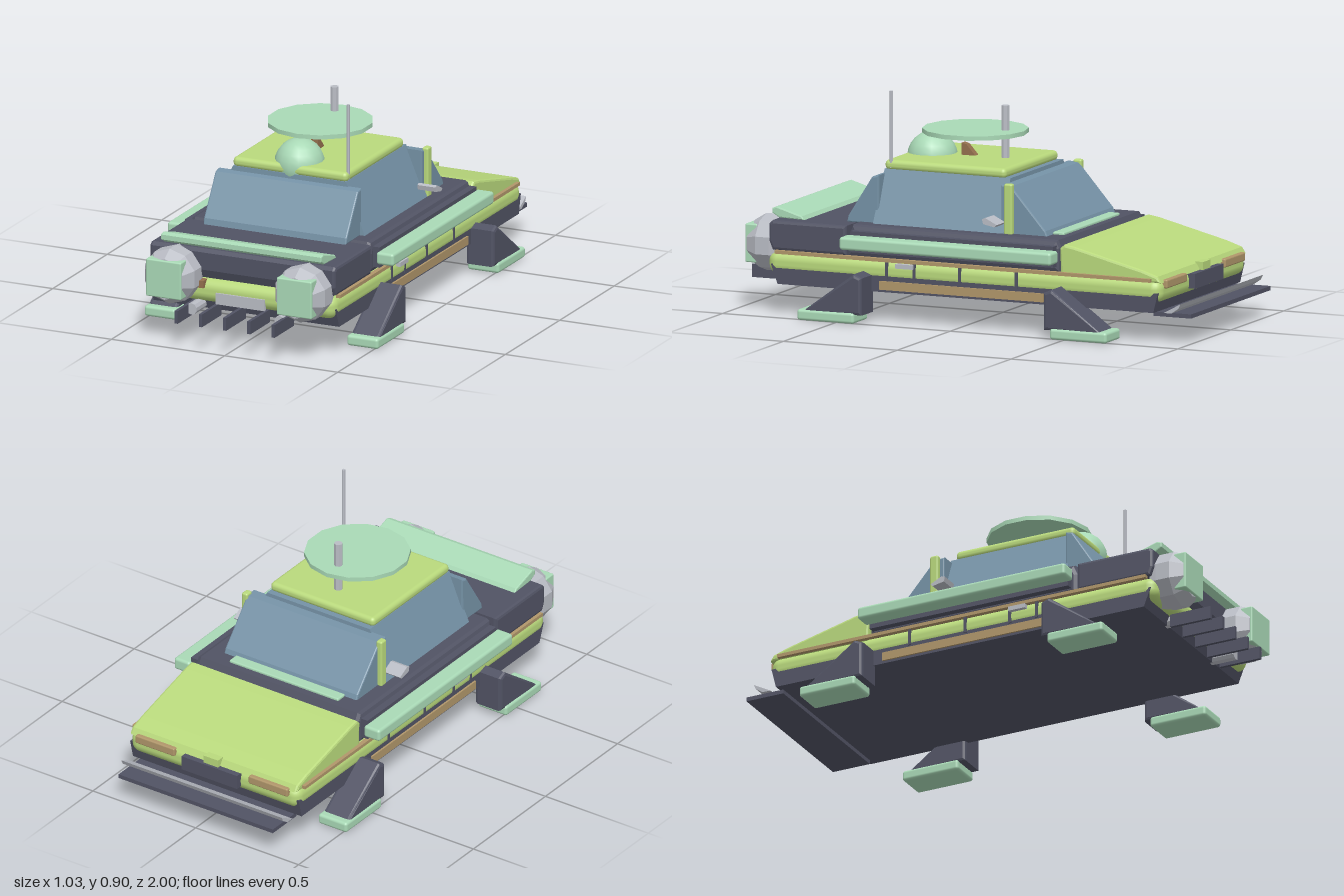
import * as THREE from 'three';
import { RoundedBoxGeometry } from 'three/addons/geometries/RoundedBoxGeometry.js';

const paint = (name, color, flat = true) => {
  const m = new THREE.MeshStandardMaterial({ color, flatShading: flat });
  m.name = name;
  return m;
};

export function createModel() {
  const model = new THREE.Group();
  model.name = 'hoverCar';
  const lime = paint('lime', 0xb9d97c, false);
  const mint = paint('mint', 0xa9d9b6, false);
  const dark = paint('slate', 0x515364);
  const glass = paint('glassBlue', 0x7592a6);
  const grey = paint('lightGrey', 0xb9bcc4);
  const tan = paint('tan', 0xb0966a);
  const brown = paint('brown', 0x94704e);

  const add = (name, geo, mat, x = 0, y = 0, z = 0) => {
    const mesh = new THREE.Mesh(geo, mat);
    mesh.name = name;
    mesh.position.set(x, y, z);
    model.add(mesh);
    return mesh;
  };
  // Box given by its limits on each axis; a radius rounds its edges
  const box = (name, mat, [x0, x1], [y0, y1], [z0, z1], r = 0) => {
    const s = [x1 - x0, y1 - y0, z1 - z0];
    const geo = r ? new RoundedBoxGeometry(...s, 3, r) : new THREE.BoxGeometry(...s);
    return add(name, geo, mat, (x0 + x1) / 2, (y0 + y1) / 2, (z0 + z1) / 2);
  };
  // The same box on both sides of the car
  const pair = (name, mat, [x0, x1], y, z, r) => {
    box(name + 'Left', mat, [x0, x1], y, z, r);
    box(name + 'Right', mat, [-x1, -x0], y, z, r);
  };
  // Side profile of [z, y] points, extruded across x and optionally bevelled
  const prism = (name, mat, profile, width, bevel = 0, x = 0) => {
    const shape = new THREE.Shape(profile.map(p => new THREE.Vector2(...p)));
    const depth = width - 2 * bevel;
    const geo = new THREE.ExtrudeGeometry(shape, {
      depth, bevelEnabled: bevel > 0, bevelThickness: bevel,
      bevelSize: bevel, bevelOffset: -bevel, bevelSegments: 2,
    });
    geo.translate(0, 0, -depth / 2).rotateY(-Math.PI / 2);
    return add(name, geo, mat, x);
  };

  // Lower body
  prism('chassis', dark, [[0.83, 0.2], [0.8, 0.12], [-0.85, 0.12], [-0.87, 0.2]], 0.82);
  box('lowerBody', lime, [-0.412, 0.412], [0.155, 0.253], [-0.88, 0.85], 0.042);
  pair('sideTrim', tan, [0.4, 0.42], [0.243, 0.257], [-0.84, 0.81]);
  pair('sill', tan, [0.39, 0.418], [0.13, 0.165], [-0.37, 0.35]);
  for (const z of [0.32, 0.2, 0, -0.25]) {
    pair('doorSeam', dark, [0.408, 0.415], [0.175, 0.243], [z - 0.006, z + 0.006]);
  }
  pair('doorHandle', grey, [0.408, 0.428], [0.222, 0.24], [0.2, 0.275]);

  // Upper body
  prism('engineDeck', dark, [[0.84, 0.29], [0.84, 0.362], [0.825, 0.375],
    [0.5, 0.375], [0.5, 0.255], [0.825, 0.255]], 0.82, 0.012);
  const sides = [[0.5, 0.25], [0.5, 0.335], [0.48, 0.38], [-0.42, 0.38], [-0.435, 0.35], [-0.435, 0.25]];
  prism('cabinDeck', dark, sides, 0.8, 0.02);
  pair('sideRail', mint, [0.423, 0.5], [0.293, 0.345], [-0.44, 0.49], 0.012);
  pair('railMount', dark, [0.38, 0.43], [0.275, 0.36], [-0.42, 0.47]);
  prism('hood', lime, [[-0.44, 0.24], [-0.435, 0.35], [-0.455, 0.367], [-0.5, 0.36],
    [-0.8, 0.287], [-0.865, 0.266], [-0.88, 0.24]], 0.81, 0.01);

  // Cabin: box whose walls lean in towards the roof
  const cabin = new THREE.BoxGeometry(0.68, 0.215, 0.575);
  const p = cabin.attributes.position;
  for (let i = 0; i < p.count; i++) {
    if (p.getY(i) > 0) p.setXYZ(i, p.getX(i) * 0.735, p.getY(i), p.getZ(i) * 0.96);
  }
  add('cabin', cabin, glass, 0, 0.4825, 0.128);
  prism('rearScreen', glass, [[0.4, 0.375], [0.54, 0.375], [0.535, 0.4],
    [0.43, 0.565], [0.4, 0.572]], 0.632, 0.006);
  prism('windshield', glass, [[-0.14, 0.375], [-0.345, 0.375], [-0.335, 0.4],
    [-0.185, 0.57], [-0.14, 0.575]], 0.645, 0.006);
  box('wiperCover', mint, [-0.265, 0.265], [0.37, 0.39], [-0.39, -0.34], 0.006);
  pair('doorPost', lime, [0.313, 0.341], [0.375, 0.582], [-0.197, -0.16], 0.008);
  const mirrorProfile = [[-0.095, 0.445], [-0.11, 0.45], [-0.16, 0.425], [-0.15, 0.415], [-0.1, 0.425]];
  for (const s of [-1, 1]) prism('mirror', grey, mirrorProfile, 0.08, 0, s * 0.365);

  // Roof equipment
  box('roof', lime, [-0.253, 0.253], [0.585, 0.626], [-0.127, 0.405], 0.018);
  add('dome', new THREE.SphereGeometry(0.101, 16, 12), mint, 0, 0.611, 0.31);
  const disc = new THREE.CylinderGeometry(0.213, 0.213, 0.018, 14);
  add('radarDisc', disc, mint, 0, 0.728, 0.122);
  add('mast', new THREE.CylinderGeometry(0.017, 0.017, 0.23, 8), grey, 0, 0.722, -0.01);
  add('aerial', new THREE.CylinderGeometry(0.007, 0.007, 0.31, 6), grey, 0.246, 0.75, 0.377);
  prism('discBracket', brown, [[0.175, 0.62], [0.175, 0.675], [0.155, 0.67], [0.11, 0.62]], 0.03);

  // Thrusters with square nozzles
  const pod = new THREE.LatheGeometry([[0, 0], [0.11, 0], [0.115, 0.03], [0.115, 0.09],
    [0.085, 0.14], [0, 0.14]].map(q => new THREE.Vector2(...q)), 10).rotateX(Math.PI / 2);
  for (const s of [-1, 1]) add('thruster', pod, grey, s * 0.288, 0.266, 0.815);
  pair('nozzle', mint, [0.211, 0.366], [0.19, 0.346], [0.91, 0.964], 0.006);
  prism('spoiler', mint, [[0.71, 0.375], [0.72, 0.39], [0.83, 0.422], [0.85, 0.415],
    [0.85, 0.395], [0.82, 0.378]], 0.71, 0.005);
  pair('engineLatch', brown, [0.16, 0.187], [0.22, 0.25], [0.82, 0.862]);
  box('plate', grey, [-0.108, 0.107], [0.16, 0.206], [0.84, 0.858]);

  // Diffuser fins and exhausts
  for (let i = -2; i <= 2; i++) {
    box('diffuserFin', dark, [i * 0.107 - 0.007, i * 0.107 + 0.007], [0.105, 0.158], [0.82, 1]);
  }
  const exhaust = new THREE.CylinderGeometry(0.024, 0.024, 0.11, 10).rotateX(Math.PI / 2);
  for (const s of [-1, 1]) add('exhaust', exhaust, grey, s * 0.195, 0.14, 0.845);

  // Nose: lights, grille and splitter
  pair('headlight', tan, [0.18, 0.37], [0.215, 0.25], [-0.893, -0.86], 0.006);
  box('grille', dark, [-0.135, 0.135], [0.18, 0.24], [-0.906, -0.86]);
  box('hoodCatch', lime, [-0.035, 0.035], [0.235, 0.272], [-0.895, -0.86]);
  prism('bumper', grey, [[-0.885, 0.12], [-0.96, 0.16], [-0.95, 0.14], [-0.92, 0.12]].reverse(), 0.78);
  box('splitter', dark, [-0.375, 0.375], [0.103, 0.12], [-1, -0.835]);

  // Landing legs, mirrored front to back and side to side
  for (const e of [-1, 1]) {
    const at = z => e * z - 0.0125;
    const leg = [[0.4, 0.035], [0.4, 0.185], [0.435, 0.2], [0.66, 0.035]].map(([z, y]) => [at(z), y]);
    for (const s of [-1, 1]) prism('landingLeg', dark, leg, 0.125, 0.012, s * 0.448);
    pair('foot', mint, [0.378, 0.517], [0, 0.044], [Math.min(at(0.43), at(0.68)), Math.max(at(0.43), at(0.68))], 0.012);
  }
  return model;
}
